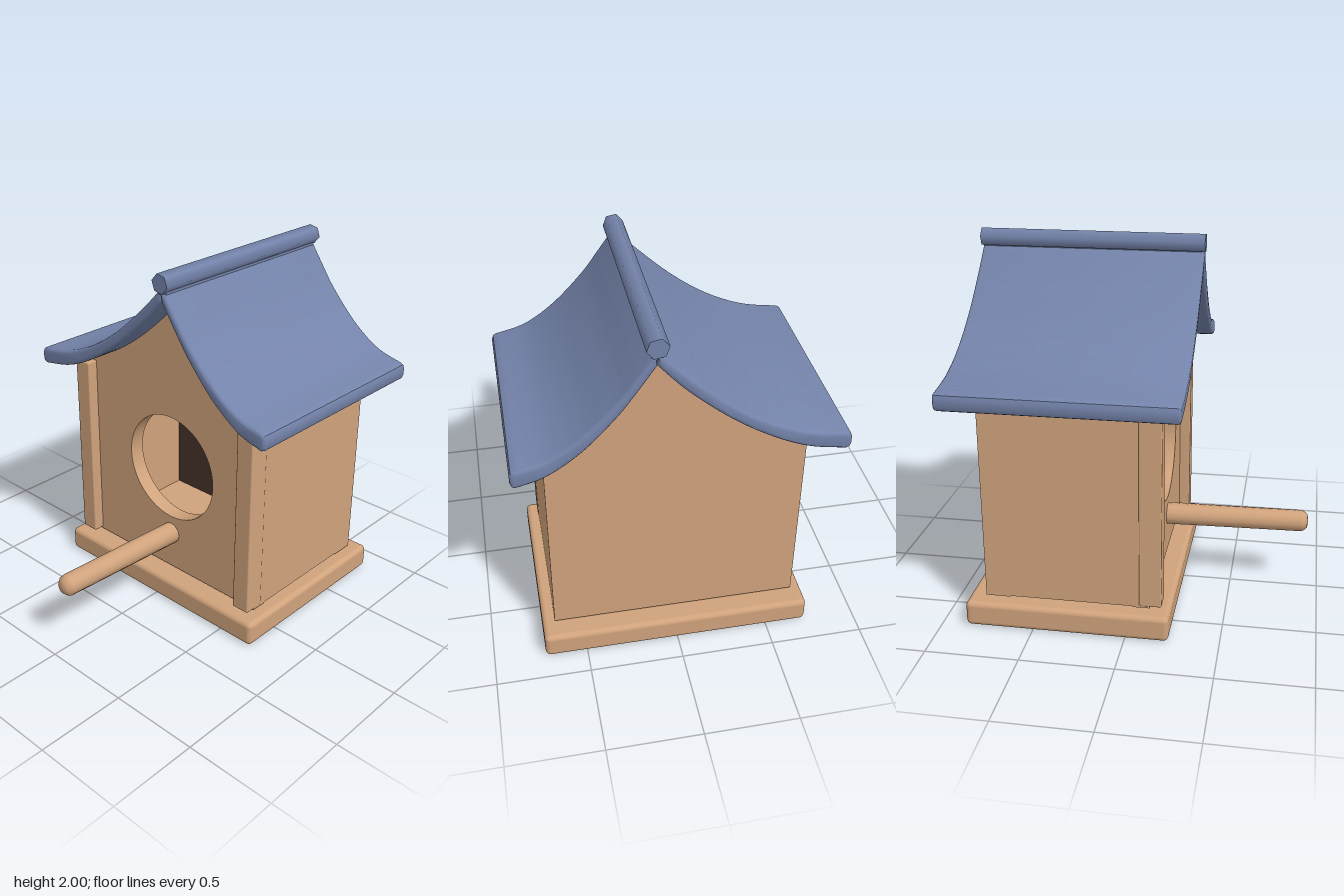
import * as THREE from 'three';
import { toCreasedNormals } from 'three/addons/utils/BufferGeometryUtils.js';
import { RoundedBoxGeometry } from 'three/addons/geometries/RoundedBoxGeometry.js';

const mat = (name, color) => new THREE.MeshStandardMaterial({ name, color });

export function createModel() {
  const group = new THREE.Group();
  const wood = mat('wood', 0xd0a37c);
  const blue = mat('roofBlue', 0x7483aa);
  const dark = mat('darkInterior', 0x46332c);

  const add = (name, geometry, material, x = 0, y = 0, z = 0) => {
    const mesh = new THREE.Mesh(geometry, material);
    mesh.name = name;
    mesh.position.set(x, y, z);
    group.add(mesh);
    return mesh;
  };
  const curve = (pts) => new THREE.SplineCurve(pts.map(([x, y]) => new THREE.Vector2(x, y))).getPoints(28);
  const extrude = (shape, depth, bevel = 0) => toCreasedNormals(new THREE.ExtrudeGeometry(shape, {
    depth: depth - 2 * bevel, bevelEnabled: bevel > 0, bevelThickness: bevel,
    bevelSize: bevel, bevelOffset: -bevel, bevelSegments: 3, curveSegments: 48,
  }), 0.6);

  // Swept roof slopes, eave to ridge, meeting off centre
  const slopes = {
    left: {
      s: -1,
      under: curve([[-0.8, 1.258], [-0.6, 1.3], [-0.4, 1.395], [-0.2, 1.53], [0, 1.705], [0.135, 1.855]]),
      top: curve([[-0.8, 1.354], [-0.6, 1.39], [-0.4, 1.475], [-0.2, 1.61], [0, 1.79], [0.135, 1.93]]),
    },
    right: {
      s: 1,
      under: curve([[0.8, 1.258], [0.65, 1.305], [0.48, 1.425], [0.32, 1.595], [0.22, 1.73], [0.135, 1.855]]),
      top: curve([[0.8, 1.354], [0.64, 1.4], [0.48, 1.51], [0.32, 1.675], [0.22, 1.81], [0.135, 1.93]]),
    },
  };
  for (const [side, { s, under, top }] of Object.entries(slopes)) {
    // Rounded eave edge joins the two curves
    const eave = [[0.817, 1.345], [0.825, 1.325], [0.825, 1.285], [0.817, 1.266]]
      .map(([x, y]) => new THREE.Vector2(s * x, y));
    const shape = new THREE.Shape([...under, ...[...top].reverse(), ...eave]);
    add(side + 'RoofSlope', extrude(shape, 1.23, 0.018), blue, 0, 0, -0.93 + 0.018);
  }

  // Smooth six-sided ridge beam, slightly skewed
  const ridge = add('ridgeBeam', new THREE.CylinderGeometry(0.054, 0.054, 1.24, 6), blue, 0.134, 1.95, -0.315);
  ridge.rotation.set(Math.PI / 2, 0.35, -0.01, 'ZXY');
  add('ridgeSeat', new THREE.BoxGeometry(0.05, 0.06, 1.2), blue, 0.135, 1.9, -0.315);

  // Gable outline, tucked just into the roof
  const W = 0.66;
  const gable = (bottom, half) => {
    const inside = (pts) => pts.filter((p) => Math.abs(p.x) < half - 0.01).map((p) => new THREE.Vector2(p.x, p.y + 0.012));
    return new THREE.Shape([
      new THREE.Vector2(-half, bottom), new THREE.Vector2(half, bottom), new THREE.Vector2(half, 1.31),
      ...inside(slopes.right.under), ...inside(slopes.left.under).reverse().slice(1),
      new THREE.Vector2(-half, 1.3),
    ]);
  };

  // Recessed front wall with the round entrance, and the thick back wall
  const front = gable(0.16, W);
  front.holes.push(new THREE.Path().absarc(0.03, 0.81, 0.315, 0, Math.PI * 2, true));
  add('frontWall', extrude(front, 0.09), wood, 0, 0, 0.035);
  add('backWall', extrude(gable(0.16, W), 0.135), wood, 0, 0, -0.765);
  add('darkBackLining', extrude(gable(0.165, W - 0.04), 0.008), dark, 0, 0, -0.63);

  // Side walls and the corner posts standing proud of the front
  for (const [side, s] of [['left', 1], ['right', -1]]) {
    add(side + 'Wall', new THREE.BoxGeometry(0.04, 1.14, 0.815), wood, s * (W - 0.02), 0.735, -0.3575);
    add(side + 'CornerPost', new RoundedBoxGeometry(0.105, 1.12, 0.12, 2, 0.008), wood, s * 0.612, 0.73, 0.128);
  }

  // Floor and rounded base board
  add('floor', new THREE.BoxGeometry(1.28, 0.015, 0.85), wood, 0, 0.163, -0.32);
  add('baseBoard', new RoundedBoxGeometry(1.45, 0.14, 1.1, 3, 0.028), wood, 0, 0.07, -0.318);

  // Perch, tilted up a little, with a chamfered tip
  const profile = [[0, 0], [0.063, 0], [0.06, 0.82], [0.056, 0.836], [0.038, 0.857], [0, 0.862]]
    .map(([r, h]) => new THREE.Vector2(r, h));
  const perch = add('perch', toCreasedNormals(new THREE.LatheGeometry(profile, 12), 0.9), wood, 0.033, 0.385, 0.07);
  perch.quaternion.setFromUnitVectors(new THREE.Vector3(0, 1, 0), new THREE.Vector3(-0.021, 0.021, 0.86).normalize());

  return group;
}
